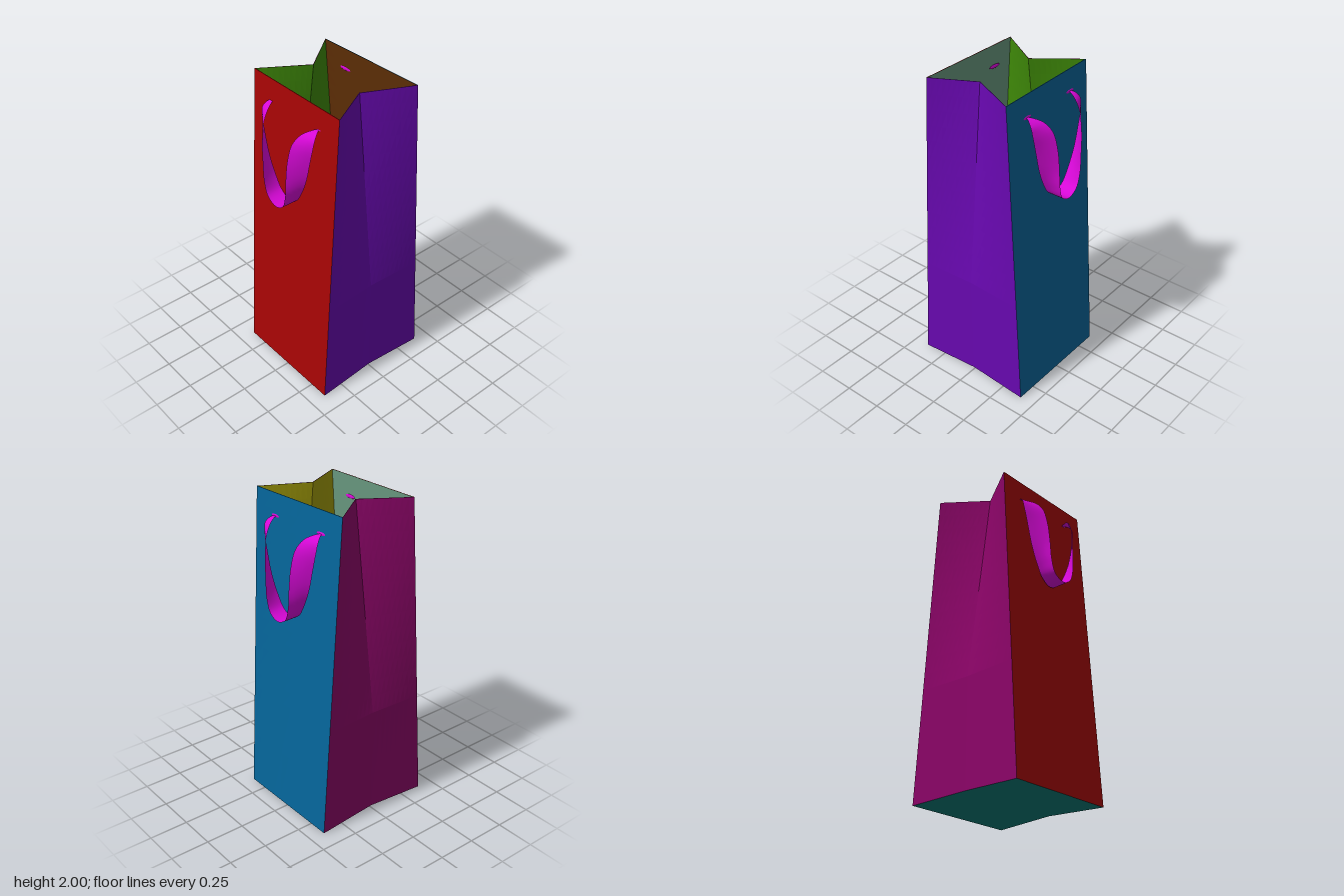
import * as THREE from 'three';

const lerp = THREE.MathUtils.lerp;
const LEVELS = [0, 0.35, 0.7, ...Array.from({ length: 13 }, (_, i) => 0.8 + i * 0.1)];
const THICK = 0.004;

// Plan of the bag at a height: six corners, counter-clockwise seen from above.
// i moves the outline inwards to make the lining.
function ring(y, i = 0) {
  const t = y / 2;
  const g = Math.max(0, (y - 0.7) / 1.3); // gusset folds in above this height
  const lift = y === 0 ? 0.015 : 0;
  const h = y === 0 ? i : y;
  return [
    [lerp(-0.378, -0.357, t) + i, h, lerp(0.395, 0.28, t) - i],
    [0.378 - i, h, lerp(0.395, 0.28, t) - i],
    [lerp(0.362, 0.235, g) - i, h + lift, 0.015 * t],
    [0.378 - i, h, lerp(-0.4, -0.285, t) + i],
    [-0.378 + i, h, lerp(-0.4, -0.26, t) + i],
    [lerp(-0.357, -0.178, g) + i, h + lift, 0],
  ];
}

// Points along some corners of the plan, each stretch split into equal steps
function outline(corners, y, inset) {
  const steps = 10;
  const p = corners.map((c) => ring(y, inset)[c]);
  const points = [p[0]];
  for (let k = 1; k < p.length; k++) {
    for (let s = 1; s <= steps; s++) {
      points.push(p[k].map((v, axis) => lerp(p[k - 1][axis], v, s / steps)));
    }
  }
  return points;
}

// Surface through rows of points; flip turns its front to the other side
function sheet(name, rows, color, { flip = false, smooth = false, double = false } = {}) {
  const n = rows[0].length;
  const index = [];
  for (let r = 0; r < rows.length - 1; r++) {
    for (let c = 0; c < n - 1; c++) {
      const a = r * n + c, b = a + 1, d = a + n, e = d + 1;
      index.push(...(flip ? [a, e, b, a, d, e] : [a, b, e, a, e, d]));
    }
  }
  const geo = new THREE.BufferGeometry();
  geo.setAttribute('position', new THREE.Float32BufferAttribute(rows.flat(2), 3));
  geo.setIndex(index);
  geo.computeVertexNormals();
  const mat = new THREE.MeshStandardMaterial({
    color, flatShading: !smooth, side: double ? THREE.DoubleSide : THREE.FrontSide,
  });
  const mesh = new THREE.Mesh(geo, mat);
  mesh.name = name;
  return mesh;
}

// Ribbon edges on one half, from the hole to the lowest point
const FRONT_EDGE = [
  [0.196, 1.865, 0.278], [0.185, 1.862, 0.305], [0.155, 1.84, 0.358], [0.132, 1.785, 0.403],
  [0.118, 1.68, 0.428], [0.108, 1.55, 0.437], [0.1, 1.43, 0.44], [0.07, 1.345, 0.44], [0, 1.312, 0.44],
];
const BACK_EDGE = [
  [0.212, 1.865, 0.278], [0.222, 1.862, 0.298], [0.238, 1.83, 0.33], [0.234, 1.78, 0.34],
  [0.21, 1.68, 0.343], [0.17, 1.53, 0.343], [0.115, 1.41, 0.34], [0.07, 1.345, 0.338], [0, 1.312, 0.336],
];

function edgeCurve(half) {
  const mirrored = half.slice(0, -1).reverse().map(([x, y, z]) => [-x, y, z]);
  return new THREE.CatmullRomCurve3([...half, ...mirrored].map((p) => new THREE.Vector3(...p)));
}

function handle(name) {
  const group = new THREE.Group();
  group.name = name;
  const color = 0xd808d8;
  const a = edgeCurve(FRONT_EDGE), b = edgeCurve(BACK_EDGE);
  const rows = [];
  for (let i = 0; i <= 96; i++) {
    const p = a.getPoint(i / 96), q = b.getPoint(i / 96);
    rows.push([0, 0.25, 0.5, 0.75, 1].map((t) => p.clone().lerp(q, t).toArray()));
  }
  group.add(sheet('ribbon', rows, color, { smooth: true, double: true }));
  // flat knots behind the holes
  for (const side of [-1, 1]) {
    const knot = new THREE.Mesh(
      new THREE.SphereGeometry(1, 16, 10),
      new THREE.MeshStandardMaterial({ color }),
    );
    knot.scale.set(0.045, 0.012, 0.005);
    knot.position.set(side * 0.204, 1.865, 0.278);
    knot.name = 'knot';
    group.add(knot);
  }
  return group;
}

export function createModel() {
  const model = new THREE.Group();
  model.name = 'giftBag';

  // Walls: corners of the plan, outside colour, lining colour
  const walls = [
    ['frontPanel', [0, 1], 0xa80505, 0x6a9a80],
    ['leftGusset', [1, 2, 3], 0x6808b0, 0xa09a08],
    ['backPanel', [3, 4], 0x05659a, 0x5e2e06],
    ['rightGusset', [4, 5, 0], 0x8c0468, 0x3f8a08],
  ];
  for (const [name, corners, outside, inside] of walls) {
    const rows = (inset) => LEVELS.map((y) => outline(corners, y, inset));
    model.add(sheet(name, rows(0), outside));
    model.add(sheet(name + 'Lining', rows(THICK), inside, { flip: true }));
    // thin top edge
    model.add(sheet(name + 'Rim', [0, THICK].map((i) => outline(corners, 2, i)), outside));
  }

  // Base, folded slightly upwards along its middle
  const baseRows = (inset) => {
    const r = ring(0, inset);
    return [[r[0], r[1]], [r[5], r[2]], [r[4], r[3]]];
  };
  model.add(sheet('base', baseRows(0), 0x067a76, { flip: true }));
  model.add(sheet('floor', baseRows(THICK), 0xd09c06));

  // Ribbon handles, each slightly askew
  const front = handle('frontHandle');
  front.position.x = 0.012;
  front.rotation.y = -0.025;
  const back = handle('backHandle');
  back.position.x = 0.003;
  back.rotation.y = Math.PI + 0.03;
  model.add(front, back);
  return model;
}
